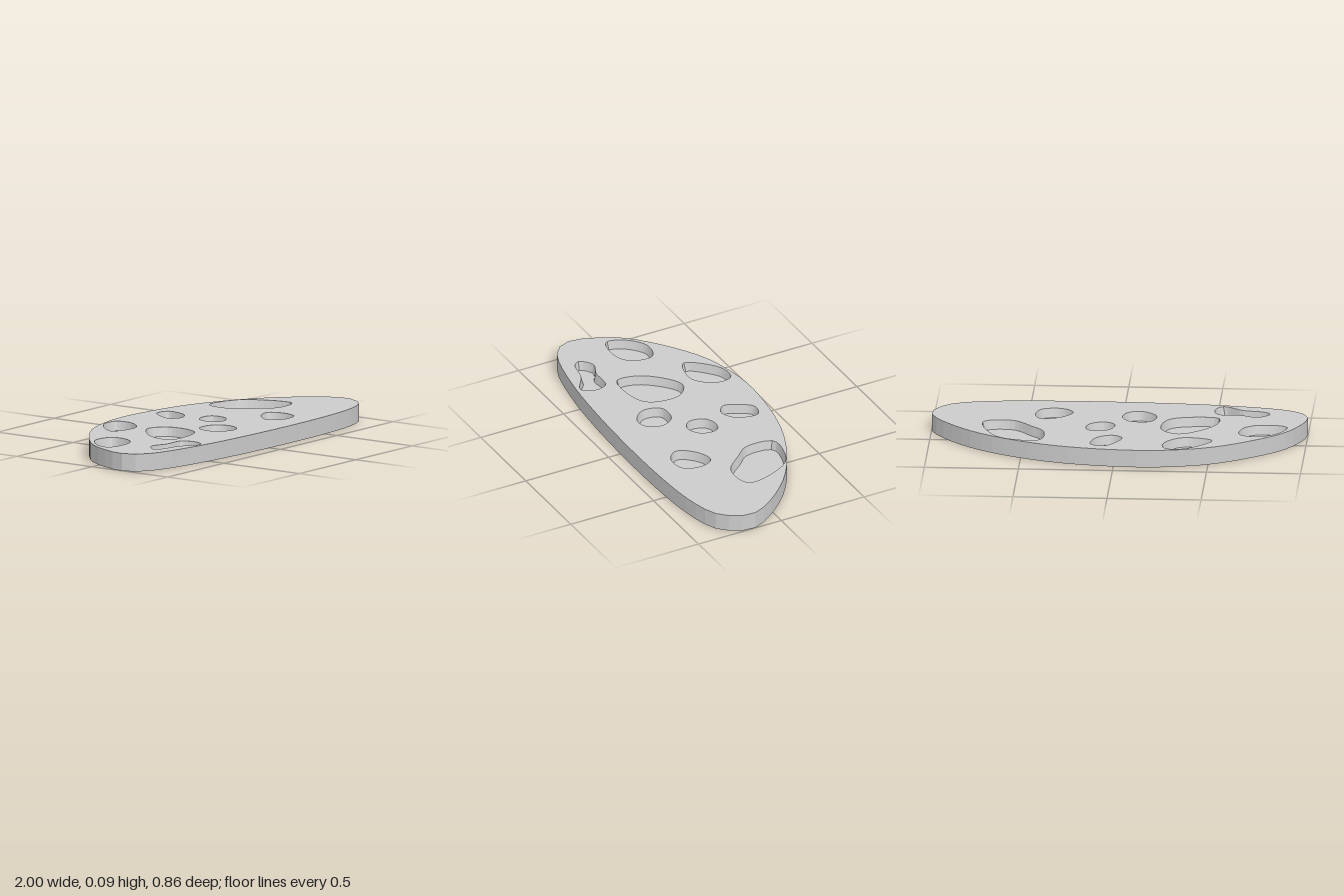
import * as THREE from 'three';

const TOP = 0.094, FLOOR = 0.045, INSET = 0.012;

// Control points as x, z pairs, clockwise seen from above
const OUTLINE = [-1, .2, -.937, 0, -.85, -.12, -.57, -.33, -.38, -.402, -.12, -.434, .35, -.362, .75, -.155,
  .975, .1, 1, .2, .925, .33, .78, .39, .3, .43, -.61, .388, -.94, .3];
const HOLLOWS = [
  [-.9, .02, -.86, -.08, -.76, -.15, -.655, -.12, -.665, -.01, -.73, .045, -.87, .045],
  [-.515, -.235, -.47, -.31, -.36, -.392, -.27, -.385, -.26, -.295, -.35, -.195, -.49, -.212],
  [-.53, .16, -.505, .02, -.33, -.125, -.24, -.06, -.235, .06, -.28, .142, -.45, .18],
  [-.795, .25, -.73, .195, -.645, .225, -.52, .235, -.5, .32, -.54, .375, -.655, .31, -.77, .285],
  [-.035, -.21, 0, -.3, .05, -.355, .125, -.335, .1, -.215, .02, -.17],
  [.02, .03, .035, -.06, .1, -.09, .16, -.07, .155, .02, .08, .065],
  [-.195, .19, -.17, .09, -.06, .088, -.015, .16, -.045, .245, -.12, .262],
  [.25, .23, .31, .14, .41, .105, .447, .17, .42, .275, .31, .292],
  [.388, -.12, .405, -.275, .54, -.27, .64, -.21, .715, .04, .56, .065, .45, -.04],
];

// Closed smooth loop of Vector2(x, z) through the control points
function loop(flat, count) {
  const pts = [];
  for (let i = 0; i < flat.length; i += 2) pts.push(new THREE.Vector3(flat[i], 0, flat[i + 1]));
  return new THREE.CatmullRomCurve3(pts, true).getSpacedPoints(count).slice(0, -1)
    .map((p) => new THREE.Vector2(p.x, p.z));
}

// Pull a loop towards its middle by a fixed distance
function inset(pts, d) {
  const mid = pts.reduce((s, p) => s.add(p), new THREE.Vector2()).divideScalar(pts.length);
  return pts.map((p) => p.clone().add(mid.clone().sub(p).setLength(d)));
}

// Wall between two loops; faces inwards when a is the lower loop, outwards when it is the upper
function wall(a, ya, b, yb) {
  const pos = [];
  a.forEach((p, i) => {
    const j = (i + 1) % a.length, q = a[j], r = b[j], s = b[i];
    pos.push(p.x, ya, p.y, q.x, ya, q.y, r.x, yb, r.y, p.x, ya, p.y, r.x, yb, r.y, s.x, yb, s.y);
  });
  const g = new THREE.BufferGeometry();
  g.setAttribute('position', new THREE.Float32BufferAttribute(pos, 3));
  g.computeVertexNormals();
  return g;
}

// Horizontal face at height y, optionally pierced, facing up or down
function sheet(pts, y, holes = [], up = true) {
  const k = up ? -1 : 1;
  const flip = (l) => l.map((p) => new THREE.Vector2(p.x, k * p.y));
  const shape = new THREE.Shape(flip(pts));
  shape.holes = holes.map((h) => new THREE.Path(flip(h)));
  return new THREE.ShapeGeometry(shape).rotateX(k * Math.PI / 2).translate(0, y, 0);
}

export function createModel() {
  const model = new THREE.Group();
  const material = new THREE.MeshStandardMaterial({ color: 0xcccccc, flatShading: true });
  const add = (parent, name, geometry) => {
    const mesh = new THREE.Mesh(geometry, material);
    mesh.name = name;
    parent.add(mesh);
  };

  // Slab
  const rim = loop(OUTLINE, 64);
  const hollows = HOLLOWS.map((h) => loop(h, 36));
  add(model, 'topFace', sheet(rim, TOP, hollows));
  add(model, 'rimWall', wall(rim, TOP, rim, 0));
  add(model, 'underside', sheet(rim, 0, [], false));

  // Hollows with slightly sloping walls
  hollows.forEach((edge, i) => {
    const hollow = new THREE.Group();
    hollow.name = `hollow${i + 1}`;
    const foot = inset(edge, INSET);
    add(hollow, 'hollowWall', wall(foot, FLOOR, edge, TOP));
    add(hollow, 'hollowFloor', sheet(foot, FLOOR));
    model.add(hollow);
  });
  return model;
}
